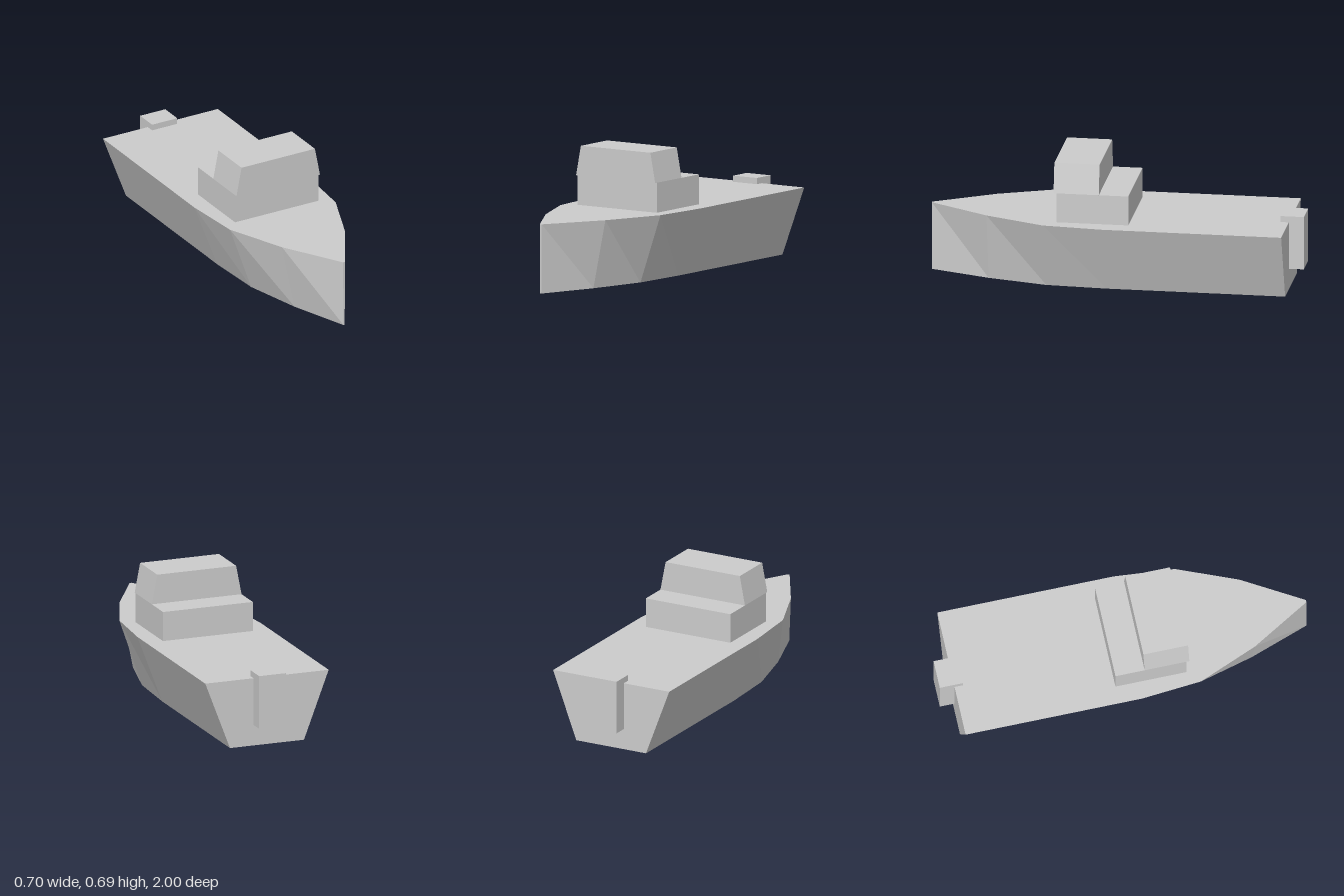
import * as THREE from 'three';

export function createModel() {
  const group = new THREE.Group();
  const grey = new THREE.MeshStandardMaterial({ color: 0xcccccc });
  grey.name = 'plainGrey';

  const add = (name, geometry) => {
    const mesh = new THREE.Mesh(geometry, grey);
    mesh.name = name;
    group.add(mesh);
  };
  // Box given by its half width and its y and z ranges
  const box = (hw, y0, y1, z0, z1) =>
    new THREE.BoxGeometry(2 * hw, y1 - y0, z1 - z0).translate(0, (y0 + y1) / 2, (z0 + z1) / 2);

  const deckY = 0.37;

  // Hull: mirrored deck outline [half width, z], narrowing evenly to the keel
  const side = [[0.352, -0.92], [0.352, 0.035], [0.324, 0.36], [0.193, 0.68], [0.006, 1]];
  const outline = [
    ...side.map(([x, z]) => new THREE.Vector2(x, -z)),
    ...side.slice().reverse().map(([x, z]) => new THREE.Vector2(-x, -z)),
  ];
  const hull = new THREE.ExtrudeGeometry(new THREE.Shape(outline), { depth: deckY, bevelEnabled: false });
  hull.rotateX(-Math.PI / 2);
  const p = hull.attributes.position;
  for (let i = 0; i < p.count; i++) {
    p.setX(i, p.getX(i) * (0.6 + 0.4 * p.getY(i) / deckY));
  }
  hull.computeVertexNormals();
  add('hull', hull);

  // Lower cabin
  add('lowerCabin', box(0.256, deckY, 0.53, -0.088, 0.297));

  // Wheelhouse: trapezoid section with sides leaning inward
  const section = new THREE.Shape([
    new THREE.Vector2(-0.256, 0.53), new THREE.Vector2(0.256, 0.53),
    new THREE.Vector2(0.225, 0.69), new THREE.Vector2(-0.225, 0.69),
  ]);
  add('wheelhouse', new THREE.ExtrudeGeometry(section, { depth: 0.242, bevelEnabled: false }).translate(0, 0, 0.07));

  // Outboard motor hung over the transom
  add('outboardMotor', box(0.077, 0.113, 0.403, -1, -0.875));

  return group;
}
